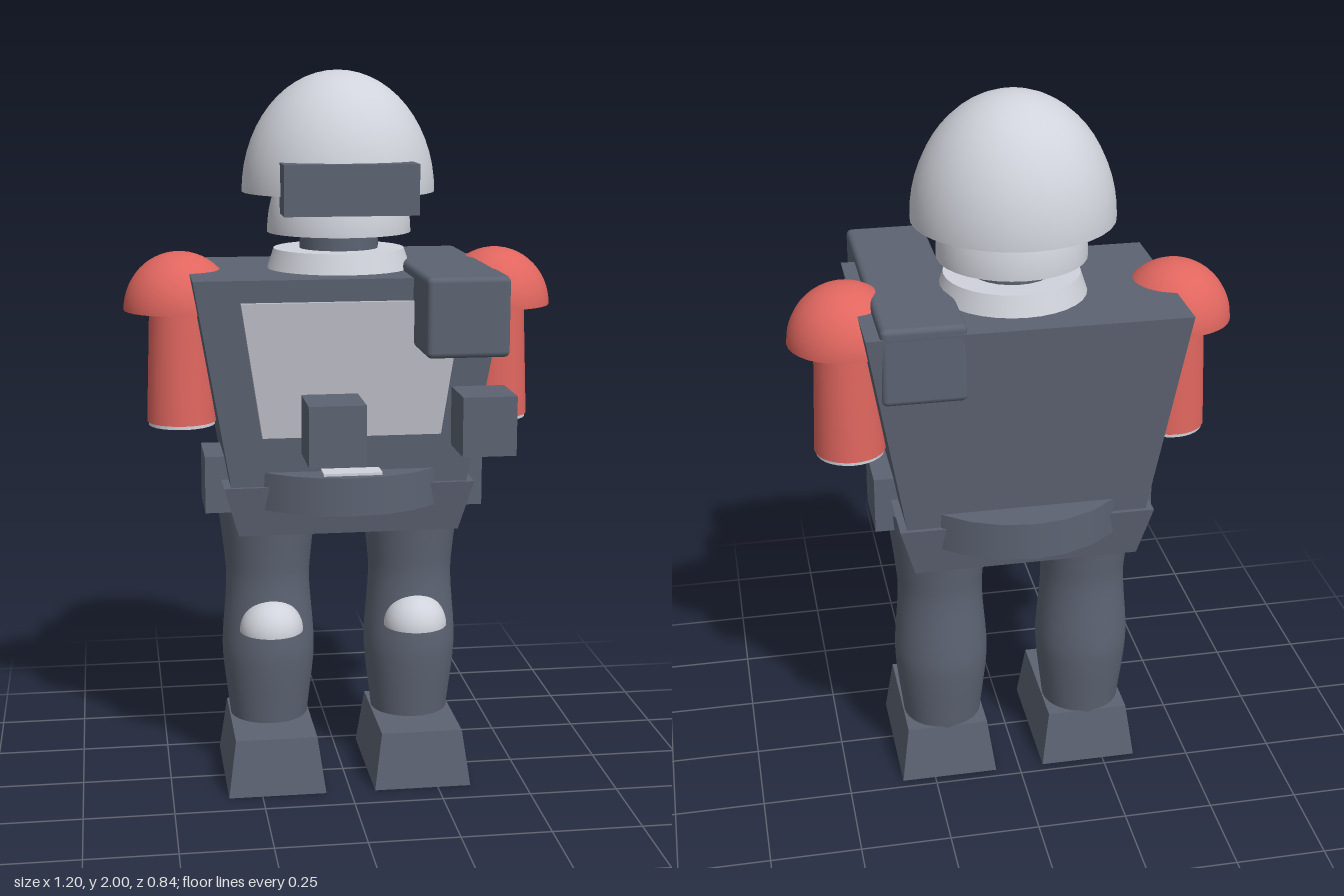
import * as THREE from 'three';
import { RoundedBoxGeometry } from 'three/addons/geometries/RoundedBoxGeometry.js';

const AXIS_Z = -0.09; // the body's central axis

function material(name, color, side = THREE.FrontSide) {
  const m = new THREE.MeshStandardMaterial({ color, side });
  m.name = name;
  return m;
}

// Box whose top has its own width and depth
function taperedBox(bottomW, bottomD, topW, topD, height) {
  const g = new THREE.BoxGeometry(1, height, 1).toNonIndexed();
  const p = g.attributes.position;
  for (let i = 0; i < p.count; i++) {
    const top = p.getY(i) > 0;
    p.setX(i, p.getX(i) * (top ? topW : bottomW));
    p.setZ(i, p.getZ(i) * (top ? topD : bottomD));
  }
  g.computeVertexNormals();
  return g;
}

// Open half sphere standing on its rim
function dome(radius, height) {
  return new THREE.SphereGeometry(radius, 32, 14, 0, Math.PI * 2, 0, Math.PI / 2)
    .scale(1, height / radius, 1);
}

export function createModel() {
  const model = new THREE.Group();
  model.name = 'armouredTrooper';
  const dark = material('darkArmour', 0x5c6372, THREE.DoubleSide);
  const white = material('paleArmour', 0xd0d3db, THREE.DoubleSide);
  const red = material('redArmour', 0xe0665f, THREE.DoubleSide);
  const panel = material('chestGrey', 0xbcbec6);

  const add = (name, geometry, mat, x, y, z, parent = model) => {
    const mesh = new THREE.Mesh(geometry, mat);
    mesh.name = name;
    mesh.position.set(x, y, z);
    parent.add(mesh);
    return mesh;
  };
  // Box given by its extents
  const box = (name, mat, x0, x1, y0, y1, z0, z1, parent = model) =>
    add(name, new THREE.BoxGeometry(x1 - x0, y1 - y0, z1 - z0), mat,
      (x0 + x1) / 2, (y0 + y1) / 2, (z0 + z1) / 2, parent);

  // Torso, chest plate and hips
  add('torso', taperedBox(0.65, 0.46, 0.845, 0.555, 0.57), dark, 0, 1.175, AXIS_Z);
  add('chestPlate', taperedBox(0.485, 0.2, 0.595, 0.22, 0.365), panel, 0, 1.2175, 0.09);
  add('hips', taperedBox(0.61, 0.44, 0.69, 0.485, 0.14), dark, 0, 0.82, AXIS_Z);

  // Round belt and buckle
  add('belt', new THREE.CylinderGeometry(0.33, 0.33, 0.105, 24), dark, 0, 0.8775, AXIS_Z);
  box('buckle', white, -0.08, 0.08, 0.85, 0.937, 0.12, 0.21);

  // Neck, head, helmet and visor
  add('collar', new THREE.CylinderGeometry(0.182, 0.2, 0.055, 32), white, 0, 1.4875, AXIS_Z);
  add('neck', new THREE.CylinderGeometry(0.11, 0.11, 0.18, 24), dark, 0, 1.58, AXIS_Z);
  add('head', dome(0.2, 0.26), white, 0, 1.56, AXIS_Z);
  add('helmet', dome(0.268, 0.33), white, 0, 1.67, -0.107);
  box('visor', dark, -0.18, 0.18, 1.625, 1.76, 0.07, 0.185);

  // Launcher over the left shoulder
  add('shoulderLauncher', new RoundedBoxGeometry(0.22, 0.21, 0.757, 2, 0.015), dark,
    0.275, 1.38, 0.0115);

  // Fists held out in front
  box('rightFist', dark, -0.145, 0.005, 1.005, 1.165, 0.255, 0.42);
  box('leftFist', dark, 0.27, 0.415, 1.005, 1.165, 0.19, 0.352);

  // Leg outline from ankle to hip
  const legProfile = new THREE.SplineCurve([
    [0.11, 0.15], [0.116, 0.2], [0.13, 0.32], [0.132, 0.4],
    [0.12, 0.56], [0.125, 0.65], [0.14, 0.78], [0.145, 0.84],
  ].map(([r, y]) => new THREE.Vector2(r, y))).getPoints(28);

  // Paired limbs
  for (const [side, s] of [['left', 1], ['right', -1]]) {
    const arm = new THREE.Group();
    arm.name = side + 'Arm';
    arm.position.set(s * 0.445, 0, AXIS_Z);
    model.add(arm);
    add('shoulderPad', dome(0.155, 0.16), red, 0, 1.35, 0, arm);
    add('upperArm', new THREE.CylinderGeometry(0.083, 0.097, 0.37, 28), red, 0, 1.22, 0, arm);
    add('cuff', new THREE.CylinderGeometry(0.093, 0.093, 0.012, 28, 1, true), white, 0, 1.031, 0, arm);

    const leg = new THREE.Group();
    leg.name = side + 'Leg';
    leg.position.set(s * 0.207, 0, AXIS_Z);
    model.add(leg);
    add('legShell', new THREE.LatheGeometry(legProfile, 32), dark, 0, 0, 0, leg);
    add('kneePad', dome(0.09, 0.09), white, 0, 0.44, 0.105, leg);
    add('boot', taperedBox(0.275, 0.39, 0.23, 0.345, 0.16), dark, 0, 0.08, 0.063, leg);

    add(side + 'BeltPouch', new THREE.BoxGeometry(0.11, 0.16, 0.185), dark, s * 0.335, 0.875, -0.052);
  }
  return model;
}
